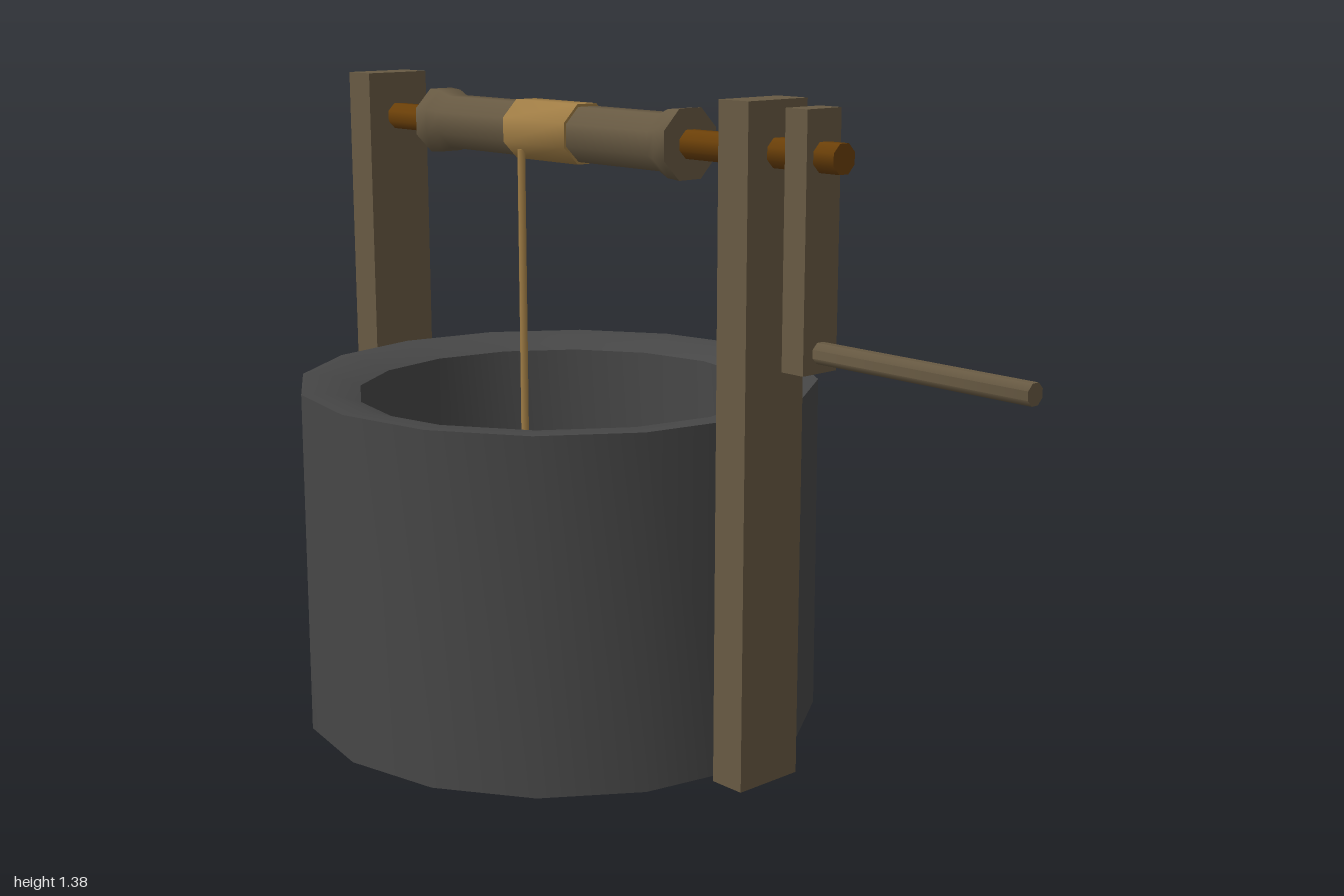
import * as THREE from 'three';
import { toCreasedNormals } from 'three/addons/utils/BufferGeometryUtils.js';

export function createModel() {
  const model = new THREE.Group();
  model.name = 'well';

  const material = (name, color, side = THREE.FrontSide) => {
    const m = new THREE.MeshStandardMaterial({ color, side });
    m.name = name;
    return m;
  };
  const stone = material('dark stone', 0x474747, THREE.DoubleSide);
  const wood = material('weathered wood', 0x685a43);
  const axleWood = material('brown axle wood', 0x6a3f08);
  const ropeFibre = material('rope fibre', 0xa07d45);

  const add = (name, geometry, mat, x, y, z = 0) => {
    const mesh = new THREE.Mesh(geometry, mat);
    mesh.name = name;
    mesh.position.set(x, y, z);
    model.add(mesh);
    return mesh;
  };

  // Turned solid lying along x; profile rows are [x, radius]
  const turned = (rows, sides) => {
    const points = rows.map(([x, r]) => new THREE.Vector2(r, x));
    const g = new THREE.LatheGeometry(points, sides, Math.PI / sides);
    g.rotateZ(-Math.PI / 2);
    return toCreasedNormals(g, 0.9);
  };
  const rod = (x0, x1, r, sides = 8) => turned([[x0, 0], [x0, r], [x1, r], [x1, 0]], sides);

  const axleY = 1.28;

  // Stone basin: closed underside, outer wall, sloping rim, inner wall, floor
  const basinProfile = [
    [0, 0], [0.57, 0], [0.567, 0.745], [0.505, 0.742], [0.44, 0.72], [0.43, 0.05], [0, 0.05],
  ].map(([r, y]) => new THREE.Vector2(r, y));
  add('basin', toCreasedNormals(new THREE.LatheGeometry(basinProfile, 16), 0.6), stone, -0.28, 0);

  // Two upright posts
  for (const [name, x] of [['rightPost', -0.898], ['leftPost', 0.337]]) {
    add(name, new THREE.BoxGeometry(0.08, 1.38, 0.16), wood, x, 0.69);
  }

  // Windlass: axle, flared drum and rope coil
  add('axle', rod(-1, 0.547, 0.031), axleWood, 0, axleY);
  add('drum', turned([
    [-0.69, 0], [-0.69, 0.077], [-0.655, 0.074], [-0.625, 0.062],
    [0.07, 0.062], [0.1, 0.074], [0.135, 0.077], [0.135, 0],
  ], 8), wood, 0, axleY);
  add('ropeCoil', rod(-0.384, -0.18, 0.068), ropeFibre, 0, axleY);

  // Hanging rope
  add('rope', new THREE.CylinderGeometry(0.009, 0.009, 1.18, 6), ropeFibre, -0.345, 0.65, 0.045);

  // Crank arm and handle
  add('crankArm', new THREE.BoxGeometry(0.056, 0.5, 0.092), wood, 0.468, 1.12);
  add('crankHandle', rod(0.427, 1, 0.022), wood, 0, 0.91);

  return model;
}
